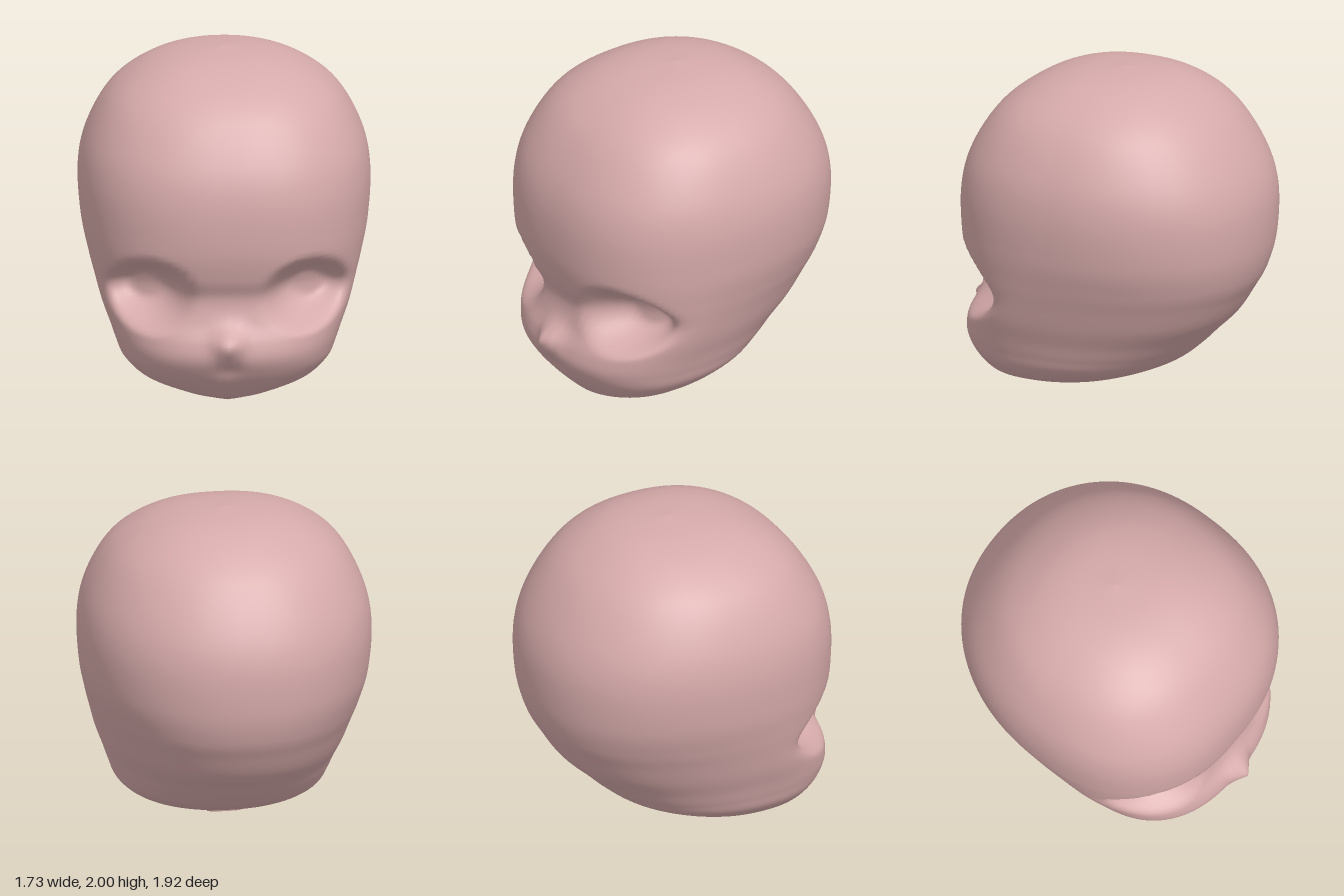
import * as THREE from 'three';

// Horizontal sections: height, half width, front z, back z, z of the widest point
const SECTIONS = [
  [0, 0, 0.6, 0.6, 0.6],
  [0.02, 0.12, 0.64, 0.42, 0.56],
  [0.05, 0.27, 0.69, 0.12, 0.48],
  [0.12, 0.49, 0.76, -0.15, 0.36],
  [0.22, 0.61, 0.84, -0.39, 0.3],
  [0.32, 0.655, 0.89, -0.52, 0.28],
  [0.42, 0.69, 0.88, -0.62, 0.27],
  [0.54, 0.735, 0.83, -0.74, 0.24],
  [0.68, 0.775, 0.81, -0.83, 0.18],
  [0.81, 0.81, 0.86, -0.9, 0.11],
  [1.0, 0.85, 0.9, -0.945, 0.03],
  [1.27, 0.865, 0.9, -0.945, 0],
  [1.5, 0.82, 0.835, -0.87, 0],
  [1.74, 0.69, 0.68, -0.71, 0],
  [1.89, 0.5, 0.48, -0.52, -0.02],
  [1.97, 0.28, 0.25, -0.32, -0.03],
  [2.0, 0, -0.04, -0.04, -0.04],
];

const spline = (pick) =>
  new THREE.CatmullRomCurve3(SECTIONS.map((s) => new THREE.Vector3(...pick(s))), false, 'catmullrom', 0.5);
const power = (v, e) => Math.sign(v) * Math.abs(v) ** e;
const bump = (v, centre, width) => Math.exp(-(((v - centre) / width) ** 2));

// Push the face in at the eye sockets and out at the nose
function sculpt(x, y, z) {
  if (z < 0.15) return z;
  const r = Math.hypot((Math.abs(x) - 0.47) / 0.275, (y - 0.69) / 0.24);
  const socket = 0.23 * (1 - THREE.MathUtils.smoothstep(r, 0.3, 1.06));
  const nose = 0.09 * bump(x, 0, 0.075) * bump(y, 0.43, 0.085);
  const philtrum = 0.02 * bump(x, 0, 0.07) * bump(y, 0.25, 0.06);
  return z - socket + nose - philtrum;
}

function headGeometry(rings = 112, around = 120) {
  const depth = spline(([y, , front, back]) => [front, y, back]);
  const width = spline(([y, w, , , mid]) => [w, y, mid]);
  const positions = [];
  const index = [];
  for (let j = 0; j <= rings; j++) {
    const { x: front, y, z: back } = depth.getPoint(j / rings);
    const { x: w, z: mid } = width.getPoint(j / rings);
    for (let i = 0; i < around; i++) {
      const a = (i / around) * Math.PI * 2;
      const s = Math.sin(a);
      const c = Math.cos(a);
      // the front half is squarer than the back
      const e = c > 0 ? 2 / 2.4 : 2 / 2.12;
      const x = w * power(s, e);
      const z = mid + (c > 0 ? front - mid : mid - back) * power(c, e);
      positions.push(x, y, sculpt(x, y, z));
      if (j === rings) continue;
      const p = j * around + i;
      const q = j * around + ((i + 1) % around);
      index.push(p, q, q + around, p, q + around, p + around);
    }
  }
  const geometry = new THREE.BufferGeometry();
  geometry.setAttribute('position', new THREE.Float32BufferAttribute(positions, 3));
  geometry.setIndex(index);
  geometry.computeVertexNormals();
  return geometry;
}

export function createModel() {
  const model = new THREE.Group();
  model.name = 'head';
  const skin = new THREE.MeshStandardMaterial({ color: 0xd6aaaa });

  const head = new THREE.Mesh(headGeometry(), skin);
  head.name = 'skull';
  model.add(head);

  // Short flared neck stub, tilted with the underside
  const neck = new THREE.Group();
  neck.name = 'neck';
  const flare = [[0.1, 0], [0.108, 0.02], [0.14, 0.038], [0.2, 0.055]];
  const collar = new THREE.Mesh(
    new THREE.LatheGeometry(flare.map(([r, y]) => new THREE.Vector2(r, y)), 24), skin);
  collar.name = 'neckCollar';
  const cap = new THREE.Mesh(new THREE.CircleGeometry(0.1, 24).rotateX(Math.PI / 2), skin);
  cap.name = 'neckCap';
  neck.add(collar, cap);
  neck.position.set(0, 0.055, 0.02);
  neck.rotation.x = 0.29;
  model.add(neck);

  return model;
}
